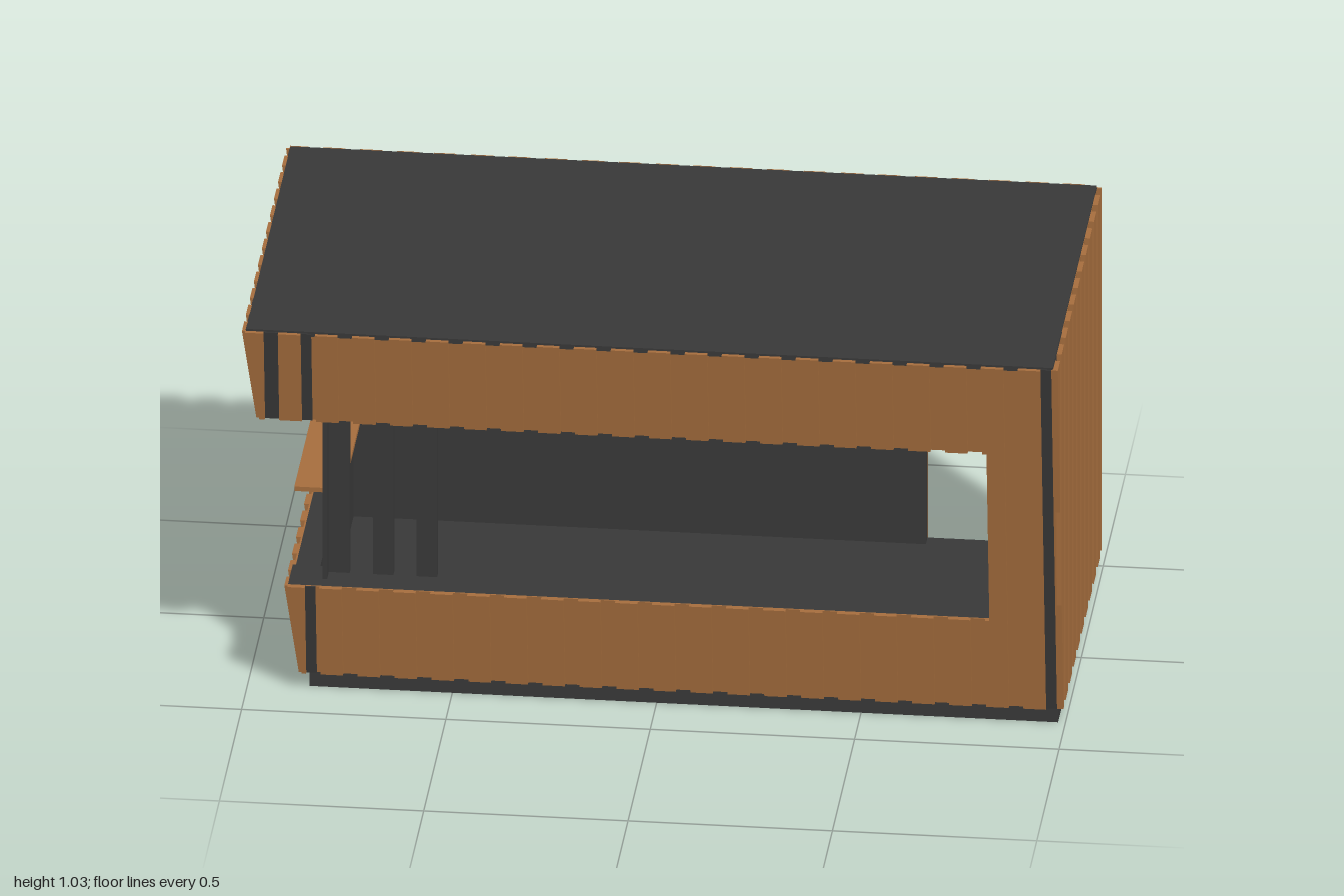
import * as THREE from 'three';
import { mergeGeometries } from 'three/addons/utils/BufferGeometryUtils.js';

const wood = new THREE.MeshStandardMaterial({ color: 0xa56d3d });
wood.name = 'wood cladding';
const dark = new THREE.MeshStandardMaterial({ color: 0x383838 });
dark.name = 'dark panel';

// Key levels and wall planes
const BOTTOM = 0.045, SILL = 0.295, HEAD = 0.78, TOP = 1.03, DOOR_TOP = 0.685;
const BACK = -0.5, RIGHT = 0.985, LEDGE_Z = 0.29, LEDGE_X = -0.83;
const lean = (y, a, b) => a + (b - a) * (y - BOTTOM) / (TOP - BOTTOM);
const frontZ = (y) => lean(y, 0.368, 0.497); // front leans outward
const leftX = (y) => lean(y, -0.862, -0.987); // one side leans outward

// Rectangle (u, y) cut by a leaning line; keeps the side where side(u, y) >= 0
function clipRect([u0, u1, y0, y1], side) {
  const pts = [[u0, y0], [u1, y0], [u1, y1], [u0, y1]], out = [];
  pts.forEach((p, i) => {
    const q = pts[(i + 1) % 4], a = side(...p), b = side(...q);
    if (a >= 0) out.push(p);
    if ((a > 0 && b < 0) || (a < 0 && b > 0)) {
      const t = a / (a - b);
      out.push([p[0] + (q[0] - p[0]) * t, p[1] + (q[1] - p[1]) * t]);
    }
  });
  return out;
}

// Solid between two mapped copies of a convex polygon
function slab(poly, inner, outer) {
  const A = poly.map((p) => inner(...p)), B = poly.map((p) => outer(...p));
  const n = poly.length, tris = [];
  for (let i = 1; i < n - 1; i++) tris.push([B[0], B[i], B[i + 1]], [A[0], A[i + 1], A[i]]);
  for (let i = 0; i < n; i++) {
    const j = (i + 1) % n;
    tris.push([A[i], A[j], B[j]], [A[i], B[j], B[i]]);
  }
  // turn the faces outward whichever way the wall points
  const volume = tris.reduce((s, [a, b, c]) => s + a.dot(b.clone().cross(c)), 0);
  const verts = tris.flatMap((t) => (volume < 0 ? [t[0], t[2], t[1]] : t));
  const g = new THREE.BufferGeometry().setFromPoints(verts);
  g.computeVertexNormals();
  return g;
}

const V = (x, y, z) => new THREE.Vector3(x, y, z);
const insideLeft = (u, y) => u - leftX(y) + 0.004;
const insideFront = (u, y) => frontZ(y) + 0.004 - u;

// Each wall: its surface at offset d, its inner face, its leaning end and its solid areas
const walls = [
  {
    name: 'frontWall', side: insideLeft,
    at: (d) => (u, y) => V(u, y, frontZ(y) + d),
    inner: (u, y) => V(u, y, LEDGE_Z),
    areas: [[-1.05, RIGHT, HEAD, TOP], [-1.05, RIGHT, BOTTOM, SILL], [0.82, RIGHT, SILL, HEAD]],
  },
  {
    name: 'leftLeaningWall', side: insideFront,
    at: (d) => (u, y) => V(leftX(y) - d, y, u),
    inner: (u, y) => V(LEDGE_X, y, u),
    areas: [[BACK, 0.55, HEAD, TOP], [BACK, 0.55, BOTTOM, SILL], [BACK, -0.33, SILL, HEAD]],
  },
  {
    name: 'backWall', side: insideLeft,
    at: (d) => (u, y) => V(u, y, BACK - d),
    inner: (u, y) => V(u, y, BACK + 0.04),
    areas: [[-1.05, 0.57, BOTTOM, TOP], [0.57, 0.82, DOOR_TOP, TOP], [0.82, RIGHT, BOTTOM, TOP]],
  },
  {
    name: 'straightSideWall', side: insideFront,
    at: (d) => (u, y) => V(RIGHT + d, y, u),
    inner: (u, y) => V(RIGHT - 0.04, y, u),
    areas: [[BACK, 0.55, BOTTOM, TOP]],
  },
];

export function createModel() {
  const model = new THREE.Group();
  model.name = 'kiosk';
  const add = (parent, name, geometry, material) => {
    const mesh = new THREE.Mesh(geometry, material);
    mesh.name = name;
    parent.add(mesh);
  };
  const box = (name, material, x0, x1, y0, y1, z0, z1) => {
    const g = new THREE.BoxGeometry(x1 - x0, y1 - y0, z1 - z0);
    g.translate((x0 + x1) / 2, (y0 + y1) / 2, (z0 + z1) / 2);
    add(model, name, g, material);
  };

  // Plinth, floor and roof
  box('plinth', dark, -0.85, 0.982, 0, 0.047, -0.496, 0.355);
  box('floor', dark, -0.84, 0.96, 0.04, 0.056, -0.497, 0.34);
  box('roof', dark, -0.989, 0.984, 1.022, 1.035, -0.499, 0.498);

  // Walls: dark core, wooden skin and raised battens
  const PITCH = 0.0905, WIDTH = 0.055;
  for (const w of walls) {
    const group = new THREE.Group();
    group.name = w.name;
    const cores = [], skins = [], battens = [];
    for (const area of w.areas) {
      const poly = clipRect(area, w.side);
      cores.push(slab(poly, w.inner, w.at(-0.004)));
      skins.push(slab(poly, w.at(-0.004), w.at(0)));
      const [u0, u1, y0, y1] = area;
      for (let u = RIGHT + 0.005 - 24 * PITCH; u < u1; u += PITCH) {
        const a = Math.max(u, u0), b = Math.min(u + WIDTH, u1);
        if (b - a < 0.004) continue;
        const strip = clipRect([a, b, y0, y1], w.side);
        if (strip.length > 2) battens.push(slab(strip, w.at(0), w.at(0.012)));
      }
    }
    add(group, 'core', mergeGeometries(cores), dark);
    add(group, 'skin', mergeGeometries(skins), wood);
    add(group, 'battens', mergeGeometries(battens), wood);
    model.add(group);
  }

  // Folded shutter leaves standing on the front ledge
  for (let i = 0; i < 3; i++) {
    const x = -0.805 + i * 0.107;
    box('shutterLeaf', dark, x, x + 0.05, SILL, HEAD, 0.3, 0.32);
  }
  box('shutterEndLeaf', dark, -0.817, -0.806, SILL, HEAD, 0.3, 0.36);

  // Wooden counter board in the side opening
  box('counterBoard', wood, -0.91, -0.79, 0.42, 0.432, -0.335, 0.14);
  return model;
}
